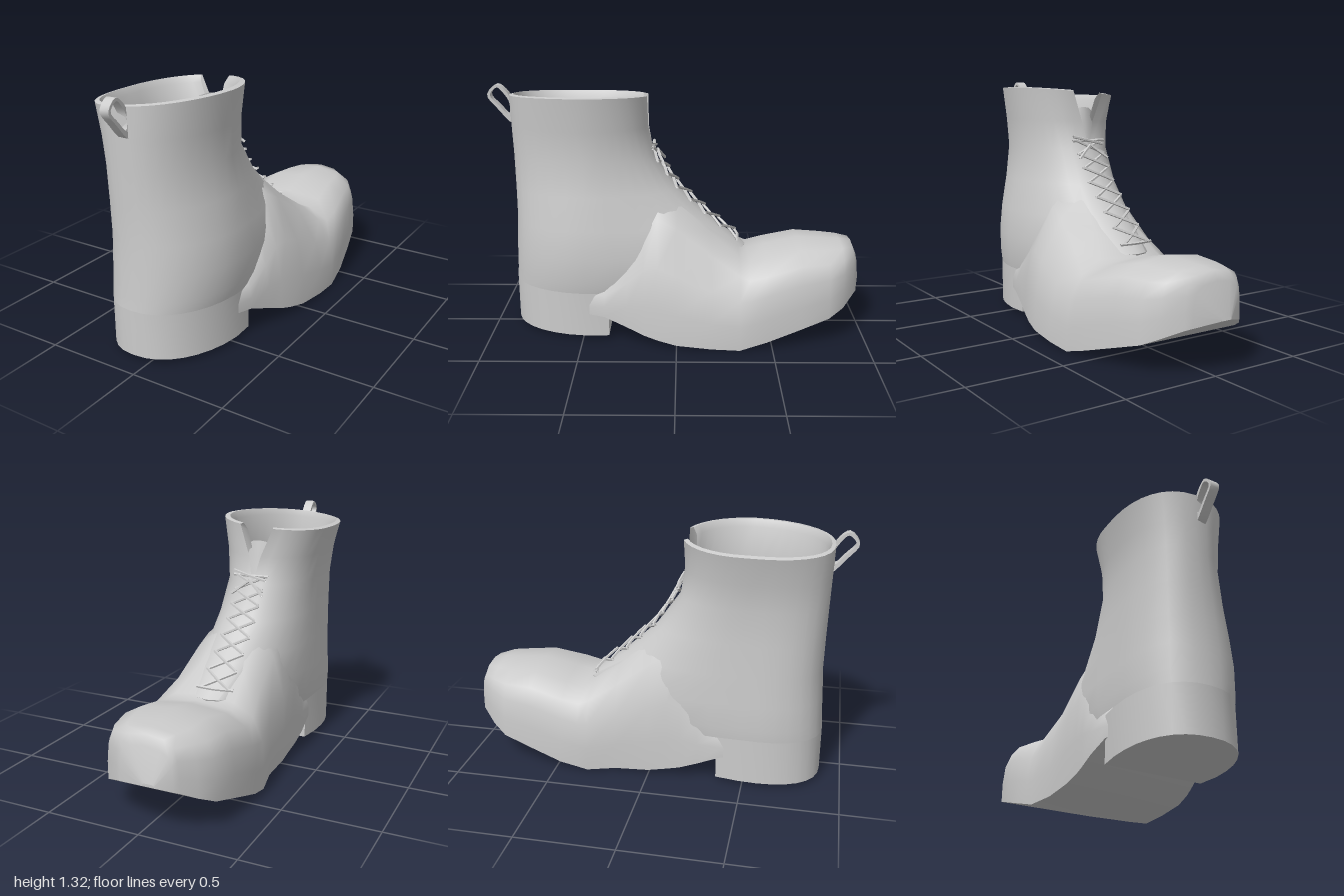
import * as THREE from 'three';
import { toCreasedNormals } from 'three/addons/utils/BufferGeometryUtils.js';

const material = new THREE.MeshStandardMaterial({ color: 0xcccccc, side: THREE.DoubleSide });

function part(name, geometry, crease = 0.8) {
  const mesh = new THREE.Mesh(toCreasedNormals(geometry, crease), material);
  mesh.name = name;
  return mesh;
}

// Skin a surface over rows of [x, y, z] points
function loft(rows) {
  const n = rows[0].length, index = [];
  for (let r = 0; r < rows.length - 1; r++) {
    for (let i = 0; i < n - 1; i++) {
      const a = r * n + i, b = a + 1, c = a + n, d = c + 1;
      index.push(a, c, b, b, c, d);
    }
  }
  const g = new THREE.BufferGeometry();
  g.setAttribute('position', new THREE.Float32BufferAttribute(rows.flat(2), 3));
  g.setIndex(index);
  return g;
}

// Shaft rings: y, left edge, right edge, front z, back z
const OUTER = [
  [0.26, -0.32, 0.245, -0.2, 0.89],
  [0.32, -0.325, 0.255, -0.32, 0.885],
  [0.45, -0.32, 0.26, -0.37, 0.88],
  [0.6, -0.315, 0.245, -0.18, 0.872],
  [0.77, -0.31, 0.21, 0.0, 0.875],
  [0.95, -0.31, 0.185, 0.125, 0.88],
  [1.1, -0.33, 0.2, 0.15, 0.885],
  [1.26, -0.37, 0.225, 0.14, 0.89],
];
const LINING = [
  [1.265, -0.345, 0.195, 0.16, 0.87],
  [1.23, -0.325, 0.175, 0.185, 0.86],
  [1.0, -0.29, 0.16, 0.2, 0.855],
  [0.6, -0.285, 0.2, 0.3, 0.845],
  [0.34, -0.24, 0.15, 0.36, 0.77],
];
const WIDEST_Z = 0.48;

function ringPoints([y, left, right, front, back], n = 32) {
  const gap = Math.max(0, y - 1) * 1.15; // front notch opens towards the top
  const points = [];
  for (let i = 0; i <= n; i++) {
    const a = gap + (i / n) * (2 * Math.PI - 2 * gap);
    const s = Math.sin(a), c = Math.cos(a);
    let x = (left + right) / 2 + (right - left) / 2 * Math.sign(s) * Math.abs(s) ** (c > 0 ? 0.95 : 0.88);
    x += 0.05 * Math.min(c, 0); // the back curves towards the inside of the foot
    const z = WIDEST_Z + (c > 0 ? (front - WIDEST_Z) * c : (back - WIDEST_Z) * (-c) ** 0.88);
    const tilt = THREE.MathUtils.smoothstep(y, 0.95, 1.25) * 0.09 * (x + 0.08);
    points.push([x, y + tilt, z]);
  }
  return points;
}

// Point just above the front of the shaft, for taut laces
function onInstep(x, y, lift) {
  const k = OUTER.findIndex((r) => r[0] > y);
  const p = OUTER[k - 1], q = OUTER[k];
  const t = (y - p[0]) / (q[0] - p[0]);
  const [, left, right, front] = p.map((v, i) => v + (q[i] - v) * t);
  const u = 0.5 * (x - (left + right) / 2) / ((right - left) / 2);
  const z = WIDEST_Z - (WIDEST_Z - front) * Math.sqrt(1 - u * u);
  return new THREE.Vector3(x, y + lift * 0.7, z - lift);
}

// Stations along the foot: z, left edge, right edge, sole y, top y, blend from toe to instep
const FOOT = [
  [-1, -0.09, -0.03, 0.25, 0.265, 0],
  [-0.965, -0.17, 0.11, 0.23, 0.43, 0],
  [-0.945, -0.19, 0.14, 0.22, 0.478, 0],
  [-0.88, -0.25, 0.23, 0.18, 0.488, 0],
  [-0.8, -0.3, 0.28, 0.14, 0.49, 0],
  [-0.65, -0.325, 0.32, 0.095, 0.5, 0],
  [-0.47, -0.35, 0.36, 0.04, 0.46, 0],
  [-0.38, -0.34, 0.37, 0.015, 0.44, 0.1],
  [-0.33, -0.335, 0.375, 0, 0.465, 0.35],
  [-0.18, -0.305, 0.38, 0.01, 0.585, 0.8],
  [0, -0.31, 0.365, 0.022, 0.75, 1],
  [0.1, -0.31, 0.345, 0.042, 0.81, 1],
  [0.17, -0.315, 0.325, 0.06, 0.74, 0.9],
  [0.26, -0.318, 0.3, 0.095, 0.52, 0.4],
  [0.38, -0.31, 0.27, 0.14, 0.33, 0],
  [0.6, -0.27, 0.2, 0.15, 0.3, 0],
];

function footUpper() {
  // Half sections [width, height]: domed toe cap and steep instep
  const toe = [[1, 0], [1, 0.3], [0.96, 0.6], [0.85, 0.82], [0.55, 0.95], [0, 1]];
  const instep = [[1, 0], [1, 0.23], [0.93, 0.5], [0.66, 0.8], [0.34, 0.95], [0, 1]];
  return loft(FOOT.map(([z, left, right, low, high, blend]) => {
    const middle = (left + right) / 2;
    const half = toe.map(([u, v], i) => [u + (instep[i][0] - u) * blend, v + (instep[i][1] - v) * blend]);
    const mirrored = half.slice(0, -1).reverse().map(([u, v]) => [-u, v]);
    return [...half, ...mirrored].map(([u, v]) => [
      middle + (-0.05 - middle) * v * v * blend + u * (right - left) / 2,
      low + v * (high - low), z]);
  }));
}

function sole() {
  return loft(FOOT.map(([z, left, right, low]) => [[left, low, z], [right, low, z]]));
}

function heel() {
  const ring = [0.02, ...OUTER[0].slice(1)];
  const points = ringPoints(ring).filter((p) => p[2] > 0.45)
    .map(([x, , z]) => new THREE.Vector2(x, -z));
  points.unshift(new THREE.Vector2(0.24, -0.36));
  points.push(new THREE.Vector2(-0.3, -0.36));
  const g = new THREE.ExtrudeGeometry(new THREE.Shape(points), { depth: 0.24, bevelEnabled: false });
  return g.rotateX(-Math.PI / 2).translate(0, 0.02, 0);
}

function shaft() {
  const rings = [...OUTER, ...LINING].map((r) => ringPoints(r));
  rings.push(rings[0].map(() => [-0.05, 0.34, 0.57])); // insole
  return loft(rings);
}

function tongue() {
  const profile = [[0.88, 0.13], [1.0, 0.165], [1.1, 0.18], [1.18, 0.195]];
  return loft(profile.map(([y, z], i) => [-1, -0.5, 0, 0.5, 1].map((u) =>
    [-0.07 + u * (0.1 - i * 0.01), y - 0.02 * u * u, z + 0.03 * u * u])));
}

function pullLoop() {
  const curve = (pts) => new THREE.CatmullRomCurve3(
    pts.map(([z, y]) => new THREE.Vector3(z, y, 0)), true).getPoints(20)
    .map((p) => new THREE.Vector2(p.x, p.y));
  const shape = new THREE.Shape(curve([[0.87, 1.11], [0.95, 1.19], [1, 1.26], [0.95, 1.315], [0.9, 1.28], [0.87, 1.22]]));
  shape.holes.push(new THREE.Path(curve([[0.89, 1.155], [0.94, 1.205], [0.985, 1.26], [0.947, 1.3], [0.912, 1.268], [0.885, 1.22]])));
  const g = new THREE.ExtrudeGeometry(shape, { depth: 0.05, bevelEnabled: false });
  return g.rotateY(-Math.PI / 2).translate(-0.06, 0, 0);
}

function laces() {
  const group = new THREE.Group();
  group.name = 'laces';
  const middle = -0.055, low = 0.49, high = 0.99, count = 7;
  const strand = (x0, y0, x1, y1, lift) => {
    const points = [0, 0.5, 1].map((t) => onInstep(x0 + (x1 - x0) * t, y0 + (y1 - y0) * t, lift));
    const tube = new THREE.TubeGeometry(new THREE.CatmullRomCurve3(points), 4, 0.008, 5);
    group.add(part('lace', tube));
  };
  const step = (high - low) / count;
  for (let i = 0; i < count; i++) {
    const y = low + i * step;
    for (const side of [-1, 1]) {
      strand(middle - side * 0.08, y, middle + side * 0.08, y + step, 0.012 + side * 0.004);
    }
  }
  // Bottom bar, top bars and the knot ends
  strand(middle - 0.1, low, middle + 0.1, low, 0.01);
  strand(middle - 0.1, high, middle + 0.1, high, 0.012);
  strand(middle - 0.09, high - 0.025, middle + 0.1, high + 0.02, 0.018);
  for (const side of [-1, 1]) {
    strand(middle, high - 0.03, middle + side * 0.09, high - 0.1, 0.022);
  }
  return group;
}

export function createModel() {
  const boot = new THREE.Group();
  boot.name = 'boot';
  boot.add(
    part('foot', footUpper(), 1.2),
    part('sole', sole()),
    part('heel', heel()),
    part('shaft', shaft(), 1.0),
    part('tongue', tongue()),
    part('pullLoop', pullLoop()),
    laces(),
  );
  return boot;
}
